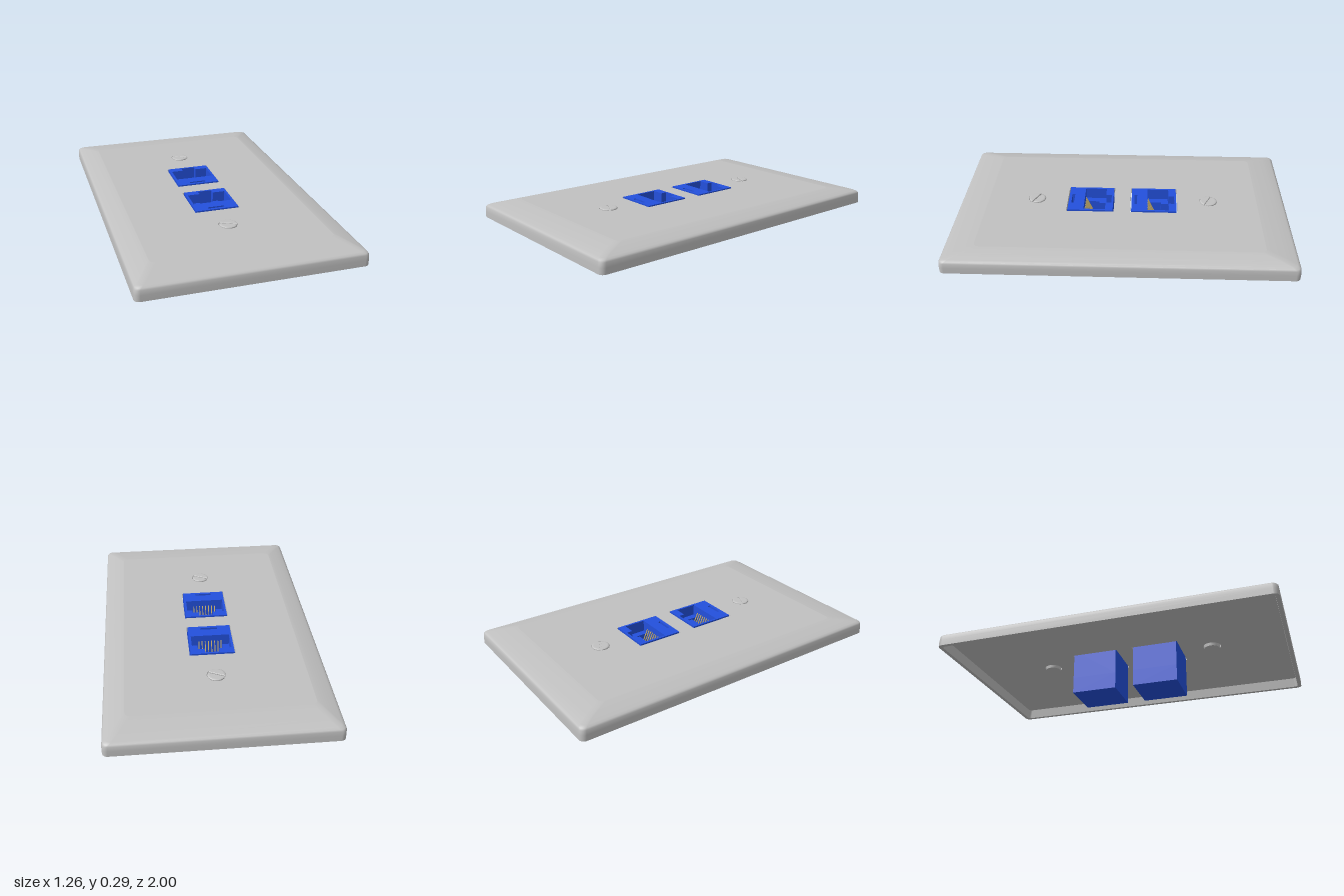
import * as THREE from 'three';

const plateGrey = new THREE.MeshStandardMaterial({ color: 0xc0c0c0 });
plateGrey.name = 'plate grey';
const jackBlue = new THREE.MeshStandardMaterial({ color: 0x2350dc });
jackBlue.name = 'jack blue';
const contactGold = new THREE.MeshStandardMaterial({ color: 0xc8b070 });
contactGold.name = 'contact gold';

const PORT_Z = 0.1925, SCREW_Z = 0.525;

function add(parent, name, geometry, material, x = 0, y = 0, z = 0) {
  const mesh = new THREE.Mesh(geometry, material);
  mesh.name = name;
  mesh.position.set(x, y, z);
  parent.add(mesh);
  return mesh;
}

// Rounded rectangle as points, six steps to each corner
function ring(hx, hz, r) {
  const points = [];
  for (let c = 0; c < 4; c++) {
    const sx = c === 0 || c === 3 ? 1 : -1, sz = c < 2 ? 1 : -1;
    for (let k = 0; k <= 6; k++) {
      const a = (c + k / 6) * Math.PI / 2;
      points.push(new THREE.Vector2(sx * (hx - r) + r * Math.cos(a), sz * (hz - r) + r * Math.sin(a)));
    }
  }
  return points;
}

// Smooth skin over rounded rectangles given as [hx, hz, radius, y]
function loft(sections) {
  const position = [], index = [];
  sections.forEach(([hx, hz, r, y]) => ring(hx, hz, r).forEach(p => position.push(p.x, y, p.y)));
  const n = 28;
  for (let j = 0; j < sections.length - 1; j++) {
    for (let i = 0; i < n; i++) {
      const a = j * n + i, b = j * n + (i + 1) % n;
      index.push(a, a + n, b, b, a + n, b + n);
    }
  }
  const g = new THREE.BufferGeometry();
  g.setAttribute('position', new THREE.Float32BufferAttribute(position, 3));
  g.setIndex(index);
  g.computeVertexNormals();
  return g;
}

// Extrude a plan shape (drawn with y = -z) upwards
function extrudeUp(shape, options) {
  return new THREE.ExtrudeGeometry(shape, { bevelEnabled: false, curveSegments: 24, ...options }).rotateX(-Math.PI / 2);
}

function rectPath(x, z, hx, hz) {
  return new THREE.Path([[-1, -1], [1, -1], [1, 1], [-1, 1]]
    .map(([sx, sz]) => new THREE.Vector2(x + sx * hx, -z + sz * hz)));
}

function createPlate() {
  const plate = new THREE.Group();
  plate.name = 'wallPlate';
  // Flat middle with openings for jacks and screws
  const face = new THREE.Shape(ring(0.51, 0.82, 0.03));
  for (const s of [-1, 1]) {
    face.holes.push(rectPath(0, s * PORT_Z, 0.134, 0.143));
    face.holes.push(new THREE.Path().absarc(0, s * SCREW_Z, 0.054, 0, Math.PI * 2));
  }
  add(plate, 'plateFace', extrudeUp(face, { depth: 0.033 }), plateGrey, 0, 0.25);
  // Sloping border, rolled edge and outer wall
  add(plate, 'plateBorder', loft([
    [0.63, 1.0, 0.03, 0.18], [0.63, 1.0, 0.03, 0.215], [0.628, 0.998, 0.03, 0.242],
    [0.622, 0.992, 0.03, 0.251], [0.609, 0.979, 0.03, 0.258],
    [0.57, 0.92, 0.03, 0.2695], [0.53, 0.85, 0.03, 0.28], [0.51, 0.82, 0.03, 0.283],
  ]), plateGrey);
  add(plate, 'plateRim', loft([[0.608, 0.978, 0.02, 0.18], [0.63, 1.0, 0.03, 0.18]]), plateGrey);
  // Hollow underside
  add(plate, 'plateUnderside', loft([[0.51, 0.82, 0.03, 0.25], [0.6, 0.97, 0.02, 0.238]]), plateGrey);
  add(plate, 'plateInnerWall', loft([[0.6, 0.97, 0.02, 0.238], [0.608, 0.978, 0.02, 0.18]]), plateGrey);
  return plate;
}

function createJack() {
  const jack = new THREE.Group();
  jack.name = 'jack';
  const hx = 0.128, hz = 0.1365, floor = 0.1;
  add(jack, 'jackBase', new THREE.BoxGeometry(hx * 2, floor, hz * 2), jackBlue, 0, floor / 2);
  // Sleeve with a stepped plug opening and a latch slot
  const sleeve = new THREE.Shape(rectPath(0, 0, hx, hz).getPoints());
  const half = [[0.115, -0.04], [0.115, 0.09], [0.042, 0.09], [0.042, 0.125]];
  const opening = [...half, ...half.map(([x, y]) => [-x, y]).reverse()];
  sleeve.holes.push(new THREE.Path(opening.map(([x, y]) => new THREE.Vector2(x, y))));
  sleeve.holes.push(rectPath(0, 0.111, 0.05, 0.008));
  add(jack, 'jackSleeve', extrudeUp(sleeve, { depth: 0.288 - floor }), jackBlue, 0, floor);
  // Inner shoulders beside the latch channel
  for (const s of [-1, 1]) {
    add(jack, 'jackShoulder', new THREE.BoxGeometry(0.04, 0.12, 0.125), jackBlue, s * 0.095, 0.16, -0.025);
    add(jack, 'jackStep', new THREE.BoxGeometry(0.034, 0.13, 0.045), jackBlue, s * 0.059, 0.165, -0.068);
  }
  // Eight slanting spring contacts
  for (let i = 0; i < 8; i++) {
    const pin = add(jack, 'contact', new THREE.BoxGeometry(0.005, 0.088, 0.005), contactGold,
      (i - 3.5) * 0.019, 0.21, 0.018);
    pin.rotation.x = 0.43;
  }
  return jack;
}

function createScrew() {
  const screw = new THREE.Group();
  screw.name = 'screw';
  add(screw, 'screwBody', new THREE.CylinderGeometry(0.052, 0.046, 0.045, 32), plateGrey, 0, 0.2575);
  // Two rounded halves leave the driver slot between them
  const r = 0.051, a = Math.asin(0.006 / r);
  const half = new THREE.Shape().absarc(0, 0, r, a, Math.PI - a);
  const geometry = extrudeUp(half, {
    depth: 0.004, bevelEnabled: true, bevelThickness: 0.005, bevelSize: 0.012, bevelOffset: -0.012, bevelSegments: 4,
  });
  for (const turn of [0, Math.PI]) {
    add(screw, 'screwHeadHalf', geometry, plateGrey, 0, 0.281).rotation.y = turn;
  }
  screw.rotation.y = -0.44;
  return screw;
}

export function createModel() {
  const model = new THREE.Group();
  model.name = 'networkWallPlate';
  model.add(createPlate());
  for (const s of [-1, 1]) {
    const jack = createJack(), screw = createScrew();
    jack.position.z = s * PORT_Z;
    screw.position.z = s * SCREW_Z;
    model.add(jack, screw);
  }
  return model;
}
